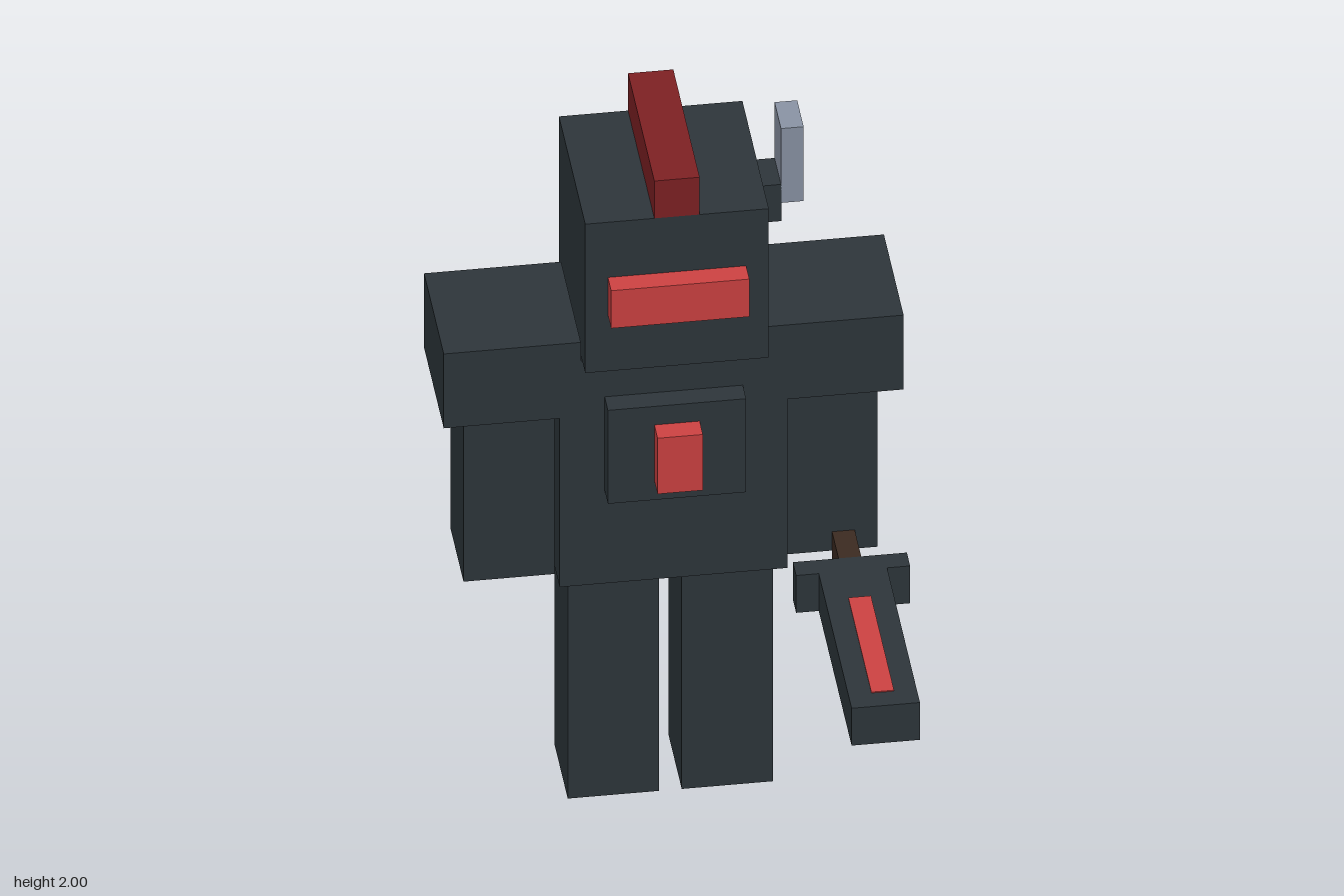
import * as THREE from 'three';

const paint = (name, color) => {
  const m = new THREE.MeshStandardMaterial({ color });
  m.name = name;
  return m;
};

export function createModel() {
  const armour = paint('dark armour', 0x2d353a);
  const glow = paint('bright red', 0xcb4141);
  const cloth = paint('deep red', 0x7d2023);
  const steel = paint('pale steel', 0x8892a3);
  const leather = paint('brown leather', 0x3b2a20);

  const model = new THREE.Group();
  model.name = 'blockKnight';

  // Box given by its minimum and maximum on each axis
  const box = (parent, name, material, [x0, x1], [y0, y1], [z0, z1]) => {
    const mesh = new THREE.Mesh(new THREE.BoxGeometry(x1 - x0, y1 - y0, z1 - z0), material);
    mesh.position.set((x0 + x1) / 2, (y0 + y1) / 2, (z0 + z1) / 2);
    mesh.name = name;
    parent.add(mesh);
  };
  const group = (name) => {
    const g = new THREE.Group();
    g.name = name;
    model.add(g);
    return g;
  };

  // Legs, arms and shoulder plates, mirrored
  const limbZ = [-0.438, -0.204];
  for (const [side, s] of [['left', 1], ['right', -1]]) {
    const span = (a, b) => (s > 0 ? [a, b] : [-b, -a]);
    box(model, side + 'Leg', armour, span(0.029, 0.263), [0, 0.706], limbZ);
    box(model, side + 'Arm', armour, span(0.297, 0.53), [0.708, 1.237], limbZ);
    box(model, side + 'Shoulder', armour, span(0.238, 0.589), [1.237, 1.47], [-0.497, -0.146]);
  }

  // Torso with chest plate, gem and cape
  const torso = group('torso');
  box(torso, 'body', armour, [-0.292, 0.292], [0.708, 1.412], [-0.497, -0.146]);
  box(torso, 'chestPlate', armour, [-0.177, 0.177], [1.0, 1.293], [-0.146, -0.087]);
  box(torso, 'chestGem', glow, [-0.058, 0.058], [1.06, 1.235], [-0.087, -0.029]);
  box(torso, 'cape', cloth, [-0.235, 0.235], [0.533, 1.35], [-0.556, -0.498]);

  // Head with visor, crest and side antenna
  const head = group('head');
  box(head, 'skull', armour, [-0.235, 0.235], [1.416, 1.883], [-0.556, -0.087]);
  box(head, 'visor', glow, [-0.177, 0.177], [1.592, 1.71], [-0.087, -0.029]);
  box(head, 'crest', cloth, [-0.058, 0.058], [1.883, 2], [-0.556, -0.087]);
  box(head, 'antennaMount', armour, [0.235, 0.293], [1.71, 1.825], [-0.38, -0.265]);
  box(head, 'antenna', steel, [0.292, 0.35], [1.767, 2], [-0.38, -0.265]);

  // Sword held forward in the left hand
  const sword = group('sword');
  const swordY = [0.65, 0.767];
  box(sword, 'grip', leather, [0.414, 0.472], swordY, [-0.204, -0.088]);
  box(sword, 'guard', armour, [0.297, 0.589], swordY, [-0.088, -0.03]);
  box(sword, 'blade', armour, [0.355, 0.53], swordY, [-0.03, 0.556]);
  box(sword, 'bladeInlay', glow, [0.414, 0.472], [0.765, 0.77], [0.087, 0.498]);

  return model;
}
